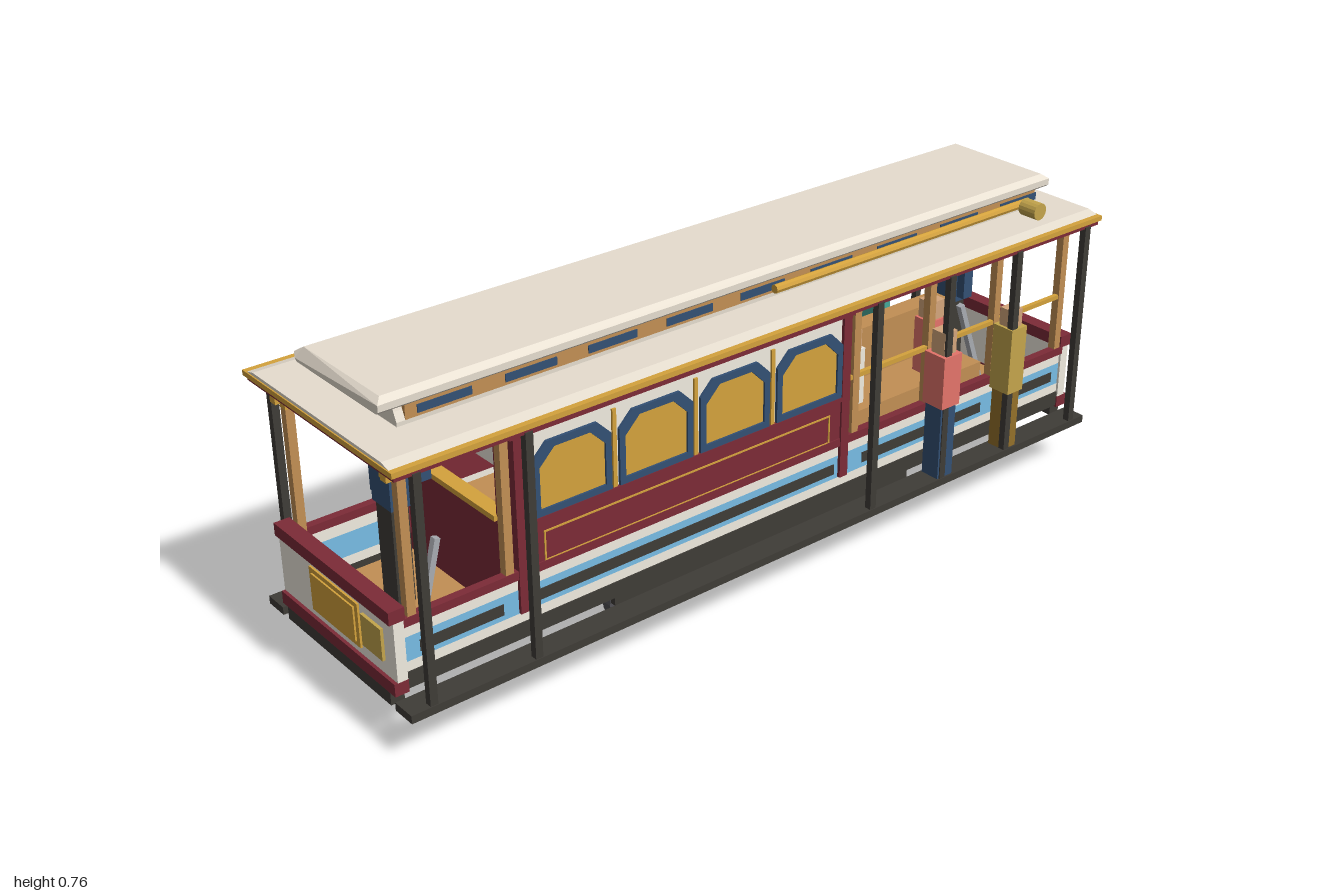
import * as THREE from 'three';

const C = { red: 0x7c2b37, white: 0xf0ebe0, roof: 0xe6ddcf, blue: 0x78bce4, navy: 0x335074, gold: 0xd4a23c, olive: 0xc4a54c,
  wood: 0xc28f54, skin: 0xd4a67c, dark: 0x3f3c37, black: 0x24221f, iron: 0x504f54, brown: 0x94702a, steel: 0xa8abb1,
  coral: 0xe4746a, teal: 0x46a89a };
const mats = {};
const mat = c => mats[c] ??= new THREE.MeshStandardMaterial({ color: C[c], flatShading: true });

export function createModel() {
  const root = new THREE.Group();
  const add = (name, color, geo, x = 0, y = 0, z = 0) => {
    const m = new THREE.Mesh(geo, mat(color));
    m.name = name;
    m.position.set(x, y, z);
    root.add(m);
    return m;
  };
  // Box from its limits on each axis
  const box = (name, color, x0, x1, y0, y1, z0, z1) =>
    add(name, color, new THREE.BoxGeometry(x1 - x0, y1 - y0, z1 - z0), (x0 + x1) / 2, (y0 + y1) / 2, (z0 + z1) / 2);
  // The same box on both sides
  const pair = (name, color, x0, x1, ...r) => {
    box(name, color, x0, x1, ...r);
    box(name, color, -x1, -x0, ...r);
  };
  const cyl = (name, color, r, len, axis, x, y, z, n = 16) => {
    const m = add(name, color, new THREE.CylinderGeometry(r, r, len, n), x, y, z);
    if (axis === 'x') m.rotation.z = Math.PI / 2;
    if (axis === 'z') m.rotation.x = Math.PI / 2;
    return m;
  };
  const poly = pts => new THREE.Shape(pts.map(p => new THREE.Vector2(...p)));
  // Cross-section (right half, bottom to top) mirrored and run along z
  const prism = (name, color, half, z0, z1) => {
    const pts = [...half, ...half.map(([x, y]) => [-x, y]).reverse()];
    return add(name, color, new THREE.ExtrudeGeometry(poly(pts), { depth: z1 - z0, bevelEnabled: false }), 0, 0, z0);
  };

  // Running gear
  for (const z of [0.335, -0.43]) {
    for (const x of [-0.127, 0.127]) cyl('wheel', 'iron', 0.067, 0.027, 'x', x, 0.067, z, 24);
    cyl('axle', 'dark', 0.009, 0.24, 'x', 0, 0.067, z, 10);
  }
  pair('truckBeam', 'dark', 0.142, 0.157, 0.075, 0.15, -0.5, 0.4);
  box('gripShank', 'dark', -0.017, 0.017, 0.03, 0.15, -0.83, -0.79);
  box('gripFoot', 'dark', -0.025, 0.025, 0.02, 0.04, -0.84, -0.78);

  // Floor, end bumpers and running boards
  box('underfloor', 'black', -0.22, 0.22, 0.146, 0.16, -0.97, 0.97);
  box('floor', 'wood', -0.21, 0.21, 0.16, 0.168, -0.965, 0.965);
  for (const z of [0.982, -0.982]) box('bumper', 'dark', -0.205, 0.205, 0.112, 0.142, z - 0.016, z + 0.016);
  pair('runningBoard', 'dark', 0.225, 0.285, 0.112, 0.131, -1, 1);

  // Lower body sides in painted bands
  const bands = [['sill', 'dark', 0.147, 0.185, 0.222], ['lowerStripe', 'white', 0.185, 0.208, 0.219],
    ['sidePanel', 'blue', 0.208, 0.265, 0.219], ['upperStripe', 'white', 0.265, 0.292, 0.219], ['sideRail', 'red', 0.292, 0.312, 0.225]];
  for (const [n, c, y0, y1, x] of bands) pair(n, c, 0.205, x, y0, y1, -0.97, 0.97);
  for (const [z0, z1] of [[-0.19, 0.64], [0.73, 0.93], [-0.68, -0.28], [-0.94, -0.77]])
    pair('sideInset', 'dark', 0.217, 0.221, 0.221, 0.247, z0, z1);

  // End dashes
  for (const s of [1, -1]) {
    const end = (n, c, x0, x1, y0, y1, a, b) => box(n, c, x0, x1, y0, y1, Math.min(s * a, s * b), Math.max(s * a, s * b));
    end('endSill', 'red', -0.225, 0.225, 0.142, 0.172, 0.965, 0.998);
    end('endPanel', 'white', -0.225, 0.225, 0.172, 0.31, 0.966, 0.99);
    end('endRail', 'red', -0.225, 0.225, 0.31, 0.34, 0.962, 0.999);
    end('endCrossbar', 'gold', -0.2, 0.2, 0.613, 0.625, 0.945, 0.957);
    for (const x of [-0.19, 0.19]) end('crossbarBracket', 'gold', x - 0.011, x + 0.011, 0.612, 0.64, 0.935, 0.967);
  }
  box('frontSign', 'gold', -0.095, 0.095, 0.19, 0.295, 0.988, 0.995);
  box('frontSignFace', 'gold', -0.083, 0.083, 0.202, 0.284, 0.994, 0.999);
  box('frontSmallSign', 'olive', 0.108, 0.184, 0.206, 0.281, 0.988, 0.997);
  box('rearSign', 'gold', -0.19, -0.045, 0.2, 0.28, -0.997, -0.988);
  cyl('rearLampRim', 'gold', 0.025, 0.01, 'z', 0.06, 0.245, -0.992);
  cyl('rearLamp', 'white', 0.019, 0.014, 'z', 0.06, 0.245, -0.993);

  // Outer poles on the running boards and inner timber posts
  for (const z of [0.945, 0.69, -0.26, -0.49, -0.715, -0.955]) pair('outerPole', 'dark', 0.266, 0.283, 0.13, 0.655, z - 0.009, z + 0.009);
  for (const z of [0.945, 0.712, -0.25, -0.49, -0.715, -0.95]) {
    pair('timberPost', 'wood', 0.203, 0.223, 0.3, 0.65, z - 0.01, z + 0.01);
    pair('postBracket', 'gold', 0.201, 0.222, 0.618, 0.64, z - 0.032, z + 0.032);
  }
  for (const [z0, z1] of [[0.69, 0.965], [-0.965, -0.225]]) {
    pair('sideBeam', 'gold', 0.205, 0.218, 0.622, 0.632, z0, z1);
    pair('valance', 'white', 0.205, 0.217, 0.632, 0.652, z0, z1);
  }
  pair('grabRail', 'gold', 0.21, 0.221, 0.449, 0.46, -0.945, -0.225);

  // Closed cabin walls
  const Z0 = -0.225, Z1 = 0.69;
  pair('cabinLowerWall', 'red', 0.2, 0.222, 0.3, 0.412, Z0, Z1);
  pair('windowWall', 'white', 0.2, 0.219, 0.412, 0.615, Z0, Z1);
  pair('letterboard', 'red', 0.2, 0.228, 0.615, 0.652, Z0 - 0.01, Z1 + 0.01);
  pair('windowSill', 'red', 0.2, 0.227, 0.407, 0.418, Z0, Z1);
  for (const z of [Z0 + 0.01, Z1 - 0.01]) pair('cornerPost', 'red', 0.198, 0.227, 0.21, 0.62, z - 0.012, z + 0.012);
  for (const y of [0.31, 0.378]) pair('goldLining', 'gold', 0.221, 0.224, y, y + 0.004, -0.17, 0.625);
  for (const z of [-0.17, 0.621]) pair('goldLining', 'gold', 0.221, 0.224, 0.31, 0.382, z, z + 0.004);
  for (const z of [0.44, 0.223, 0.005]) pair('windowDivider', 'gold', 0.217, 0.224, 0.418, 0.6, z - 0.005, z + 0.005);

  // Arched windows with clipped upper corners
  const outline = (w, y0, y1, c) => [[-w, y0], [w, y0], [w, y1 - c], [w - c, y1], [-w + c, y1], [-w, y1 - c]];
  const frame = poly(outline(0.098, 0.417, 0.585, 0.035));
  frame.holes.push(new THREE.Path(outline(0.083, 0.433, 0.568, 0.038).map(p => new THREE.Vector2(...p))));
  const frameGeo = new THREE.ExtrudeGeometry(frame, { depth: 0.008, bevelEnabled: false });
  const paneGeo = new THREE.ExtrudeGeometry(poly(outline(0.085, 0.431, 0.57, 0.036)), { depth: 0.003, bevelEnabled: false });
  for (const s of [1, -1]) for (const z of [0.548, 0.331, 0.114, -0.104]) {
    add('windowFrame', 'navy', frameGeo, s * 0.218, 0, z).rotation.y = s * Math.PI / 2;
    add('windowPane', 'gold', paneGeo, s * 0.218, 0, z).rotation.y = s * Math.PI / 2;
  }

  // Bulkheads at both ends of the cabin, open in the middle
  for (const z of [Z1 - 0.012, Z0 + 0.012]) {
    const [a, b] = [z - 0.01, z + 0.01];
    box('bulkheadBase', 'red', -0.205, 0.205, 0.15, 0.397, a, b);
    box('bulkheadLedge', 'gold', -0.15, 0.15, 0.397, 0.41, a - 0.008, b + 0.008);
    pair('bulkheadSide', 'red', 0.147, 0.205, 0.39, 0.58, a, b);
    box('bulkheadHeader', 'white', -0.205, 0.205, 0.58, 0.65, a, b);
    box('bulkheadLight', 'white', -0.147, 0.147, 0.525, 0.58, a, b);
  }

  // Benches
  pair('cabinBench', 'wood', 0.1, 0.2, 0.168, 0.28, -0.2, 0.66);
  pair('openBench', 'wood', 0.02, 0.15, 0.27, 0.31, -0.75, -0.26);
  pair('benchBase', 'wood', 0.02, 0.12, 0.168, 0.27, -0.74, -0.27);
  box('benchBack', 'wood', -0.025, 0.025, 0.168, 0.442, -0.75, -0.26);

  // Main roof, ceiling and raised roof
  box('ceiling', 'brown', -0.215, 0.215, 0.645, 0.655, -0.97, 0.97);
  box('roofUnderside', 'red', -0.28, 0.28, 0.651, 0.662, -0.993, 0.993);
  box('roofEdge', 'gold', -0.285, 0.285, 0.662, 0.674, -1, 1);
  prism('roof', 'roof', [[0.278, 0.672], [0.245, 0.681]], -0.997, 0.997);
  prism('raisedRoofWall', 'roof', [[0.145, 0.676], [0.145, 0.69], [0.136, 0.71], [0.13, 0.728]], -0.92, 0.9);
  pair('raisedRoofSide', 'wood', 0.125, 0.145, 0.688, 0.724, -0.91, 0.88);
  for (let i = 0; i < 9; i++) {
    const z = 0.79 - i * 0.205;
    pair('raisedRoofLight', 'navy', 0.14, 0.147, 0.697, 0.715, z - 0.063, z + 0.063);
  }
  // Raised roof cap, its top edge drawn in at both ends
  const cap = prism('raisedRoofCap', 'roof', [[0.15, 0.725], [0.157, 0.731], [0.157, 0.746], [0.142, 0.757]], -0.945, 0.945);
  const p = cap.geometry.attributes.position;
  for (let i = 0; i < p.count; i++) if (p.getY(i) > 0.75) p.setZ(i, p.getZ(i) < 0.9 ? 0.014 : 1.876);
  for (const x of [-0.156, 0.156]) cyl('roofRod', 'gold', 0.0105, 0.82, 'z', x, 0.703, -0.465, 8);
  cyl('roofBell', 'olive', 0.021, 0.05, 'x', 0.201, 0.706, -0.84);
  box('bellMount', 'gold', 0.15, 0.18, 0.698, 0.708, -0.845, -0.835);

  // Control levers
  const lever = (x, z, y0, y1, tilt) => { box('lever', 'steel', x - 0.008, x + 0.008, y0, y1, z - 0.007, z + 0.007).rotation.x = tilt; };
  lever(0.066, 0.81, 0.165, 0.36, -0.25);
  lever(0.08, -0.79, 0.165, 0.45, 0.35);

  // Standing and seated figures
  const person = (name, x, z, y, hip, neck, top, w, d, coat, legs) => {
    box(name + 'Legs', legs, x - w * 0.4, x + w * 0.4, y, hip, z - d * 0.42, z + d * 0.42);
    box(name + 'Torso', coat, x - w / 2, x + w / 2, hip, neck, z - d / 2, z + d / 2);
    box(name + 'Head', 'skin', x - w * 0.32, x + w * 0.32, neck, top, z - d * 0.35, z + d * 0.35);
  };
  person('driver', -0.048, 0.815, 0.165, 0.4, 0.535, 0.595, 0.074, 0.05, 'navy', 'dark');
  box('driverRaisedArm', 'navy', -0.025, 0.083, 0.505, 0.565, 0.795, 0.828);
  box('driverArm', 'navy', -0.108, -0.085, 0.41, 0.53, 0.8, 0.83);
  person('conductor', -0.048, -0.84, 0.165, 0.395, 0.54, 0.6, 0.074, 0.05, 'navy', 'dark');
  for (const x of [-0.097, 0.001]) box('conductorArm', 'navy', x - 0.012, x + 0.012, 0.41, 0.53, -0.855, -0.825);
  person('rider', 0.255, -0.5, 0.131, 0.32, 0.453, 0.51, 0.064, 0.058, 'coral', 'navy');
  person('rider', 0.256, -0.728, 0.131, 0.285, 0.455, 0.5, 0.06, 0.052, 'olive', 'brown');
  person('rider', -0.255, -0.52, 0.131, 0.32, 0.453, 0.51, 0.064, 0.058, 'teal', 'navy');
  for (const [x, z, coat] of [[0.097, -0.345, 'white'], [0.097, -0.62, 'coral'], [-0.097, -0.345, 'olive'], [-0.097, -0.62, 'teal']]) {
    box('passengerTorso', coat, x - 0.026, x + 0.026, 0.31, 0.453, z - 0.029, z + 0.029);
    box('passengerHead', 'skin', x - 0.021, x + 0.021, 0.453, 0.5, z - 0.022, z + 0.022);
  }
  return root;
}
